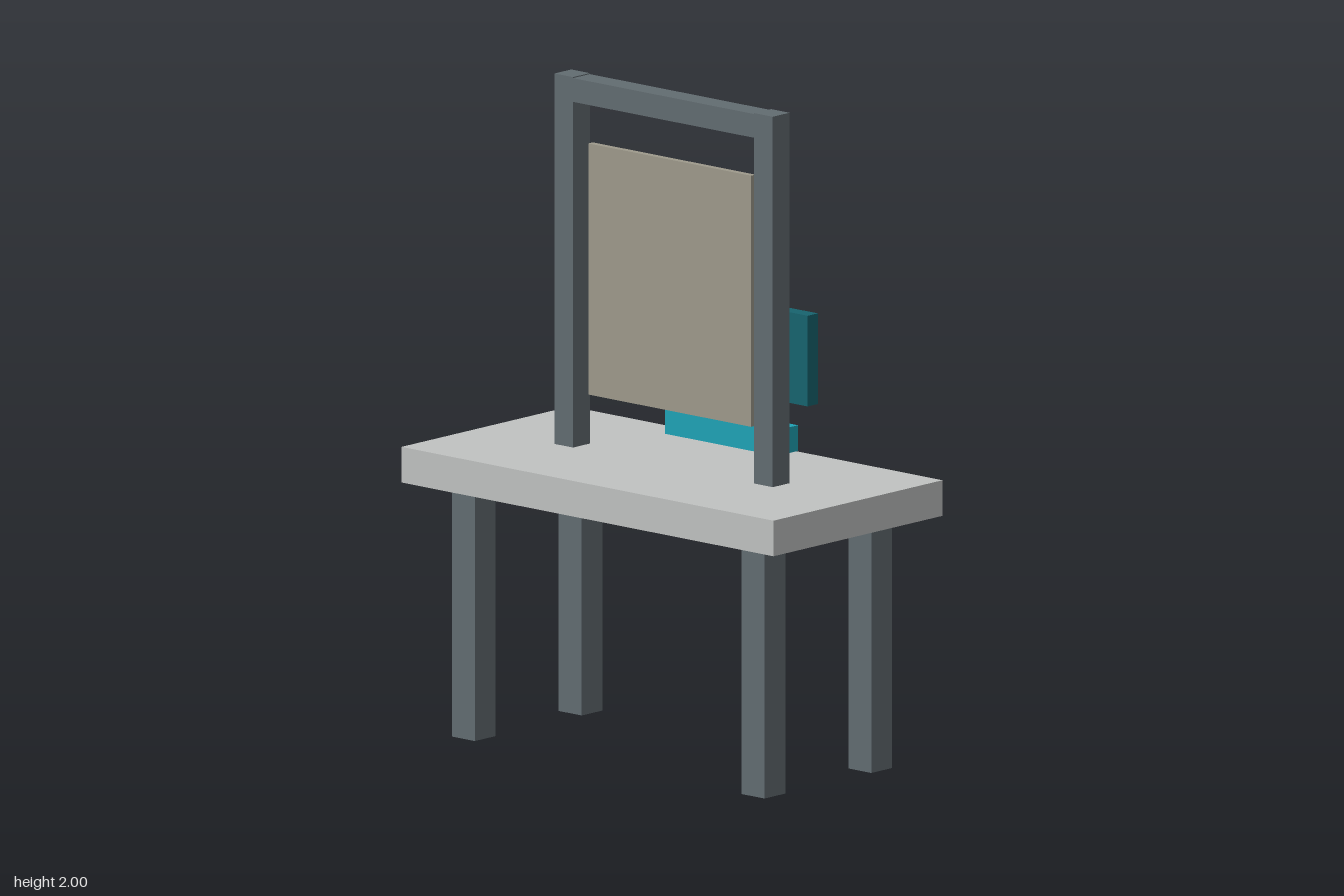
import * as THREE from 'three';

const material = (name, color) => {
  const m = new THREE.MeshStandardMaterial({ color });
  m.name = name;
  return m;
};

export function createModel() {
  const model = new THREE.Group();
  model.name = 'deskWithFrame';

  const lightGrey = material('light grey', 0xc0c2c1);
  const steel = material('steel grey', 0x626c71);
  const taupe = material('taupe', 0x9e9a8c);
  const teal = material('teal', 0x1fa3b6);
  const darkTeal = material('dark teal', 0x17646f);

  // Box given by its extents on each axis
  const box = (name, mat, [x0, x1], [y0, y1], [z0, z1]) => {
    const mesh = new THREE.Mesh(new THREE.BoxGeometry(x1 - x0, y1 - y0, z1 - z0), mat);
    mesh.position.set((x0 + x1) / 2, (y0 + y1) / 2, (z0 + z1) / 2);
    mesh.name = name;
    model.add(mesh);
  };

  // Table top and four legs
  box('tableTop', lightGrey, [-0.745, 0.745], [0.768, 0.876], [-0.372, 0.372]);
  for (const [side, x] of [['Left', 0.58], ['Right', -0.58]]) {
    for (const [end, z] of [['front', 0.235], ['back', -0.235]]) {
      box(`${end}${side}Leg`, steel, [x - 0.046, x + 0.046], [0, 0.768], [z - 0.046, z + 0.046]);
    }
  }

  // Upright frame: two posts and a crossbar
  for (const [side, x] of [['left', 0.4], ['right', -0.4]]) {
    box(`${side}Post`, steel, [x - 0.037, x + 0.037], [0.876, 2], [-0.037, 0.037]);
  }
  box('crossbar', steel, [-0.363, 0.363], [1.925, 1.997], [-0.037, 0.037]);

  // Panel hanging between the posts
  box('panel', taupe, [-0.326, 0.326], [1.038, 1.8], [-0.01, 0.01]);

  // Small block and upright board behind the frame
  box('block', teal, [-0.224, 0.224], [0.897, 0.975], [-0.308, -0.216]);
  box('backBoard', darkTeal, [-0.242, 0.242], [1.031, 1.306], [-0.376, -0.331]);

  return model;
}
